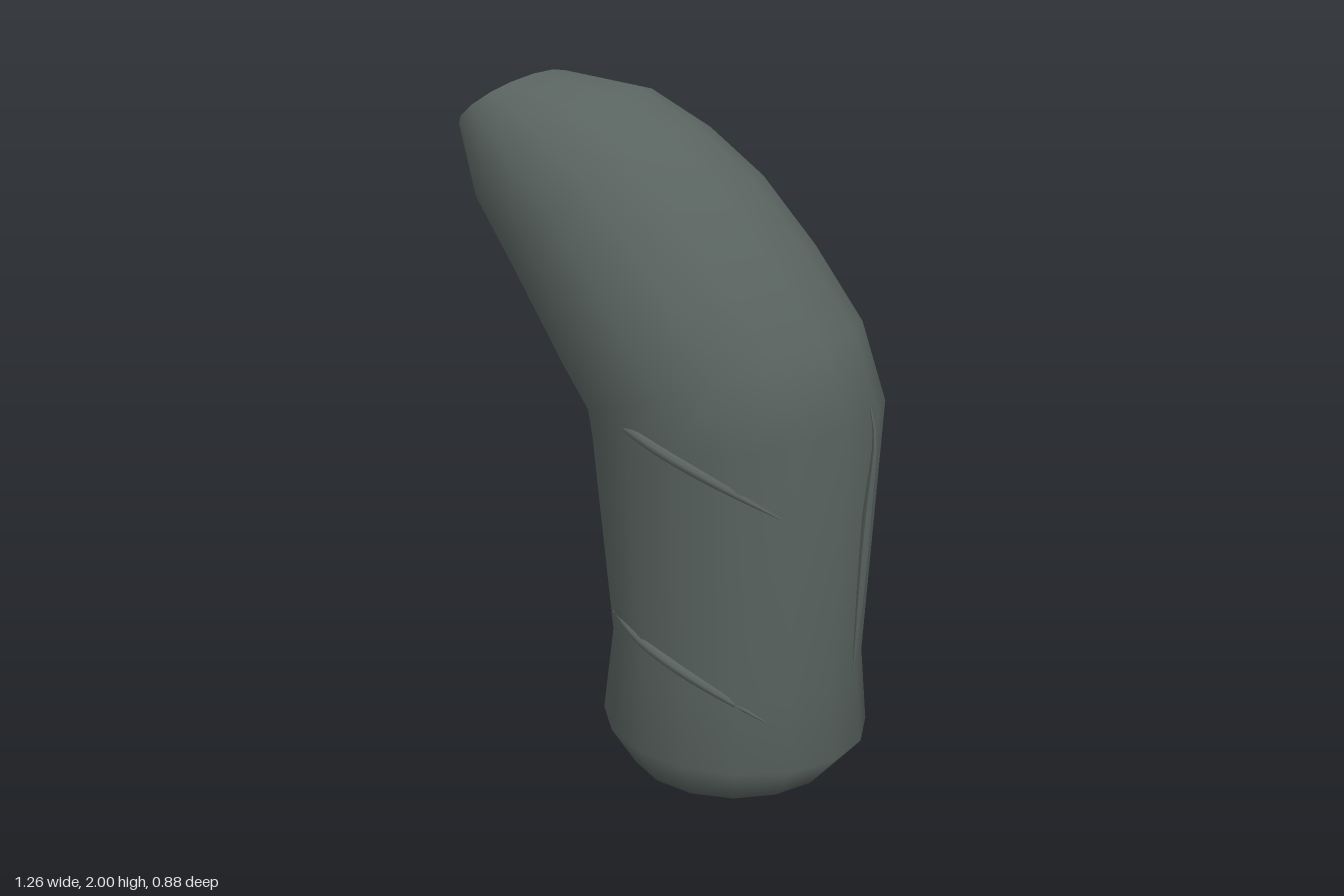
import * as THREE from 'three';
import { mergeVertices } from 'three/addons/utils/BufferGeometryUtils.js';

const SIDES = 16;

// Each ring: inner edge x, y, outer edge x, y, half depth in z
const RINGS = [
  [0.2, 0, 0.2, 0, 0],
  [-0.12, 0, 0.51, 0, 0.325],
  [-0.21, 0.11, 0.595, 0.1, 0.37],
  [-0.17, 0.38, 0.57, 0.32, 0.383],
  [-0.225, 0.98, 0.61, 1.1, 0.43],
  [-0.235, 1.06, 0.53, 1.33, 0.438],
  [-0.3, 1.17, 0.38, 1.54, 0.44],
  [-0.39, 1.31, 0.22, 1.73, 0.41],
  [-0.48, 1.45, 0.06, 1.86, 0.37],
  [-0.58, 1.61, -0.12, 1.96, 0.33],
  [-0.64, 1.83, -0.39, 2.0, 0.235],
  [-0.555, 1.95, -0.555, 1.95, 0],
];

// Bent sleeve skinned over elliptical cross-sections
function sleeveGeometry() {
  const pos = [], index = [];
  RINGS.forEach(([lx, ly, rx, ry, d], i) => {
    for (let j = 0; j < SIDES; j++) {
      const t = (j / SIDES) * Math.PI * 2, c = Math.cos(t) / 2;
      pos.push((lx + rx) / 2 + (rx - lx) * c, (ly + ry) / 2 + (ry - ly) * c, d * Math.sin(t));
      if (i === RINGS.length - 1) continue;
      const a = i * SIDES + j, b = i * SIDES + ((j + 1) % SIDES);
      if (i > 0) index.push(a, a + SIDES, b);
      if (i < RINGS.length - 2) index.push(b, a + SIDES, b + SIDES);
      if (i === 0) index.push(b, a + SIDES, b + SIDES);
    }
  });
  let geo = new THREE.BufferGeometry();
  geo.setAttribute('position', new THREE.Float32BufferAttribute(pos, 3));
  geo.setIndex(index);
  geo = mergeVertices(geo, 1e-4);
  geo.computeVertexNormals();
  return geo;
}

// Thin cloth crease: a tube that tapers to a point at both ends
function creaseGeometry(points, radius) {
  const curve = new THREE.CatmullRomCurve3(points.map((p) => new THREE.Vector3(...p)));
  const segs = 14, radial = 6;
  const geo = new THREE.TubeGeometry(curve, segs, radius, radial);
  const p = geo.attributes.position, v = new THREE.Vector3();
  for (let i = 0; i <= segs; i++) {
    const c = curve.getPointAt(i / segs);
    const s = 0.15 + 0.85 * Math.sin((Math.PI * i) / segs);
    for (let j = 0; j <= radial; j++) {
      const k = i * (radial + 1) + j;
      v.fromBufferAttribute(p, k).sub(c).multiplyScalar(s).add(c);
      p.setXYZ(k, v.x, v.y, v.z);
    }
  }
  geo.computeVertexNormals();
  return geo;
}

export function createModel() {
  const group = new THREE.Group();
  group.name = 'bentSleeve';
  const cloth = new THREE.MeshStandardMaterial({ color: 0x59635f });
  cloth.name = 'greyGreenCloth';

  const add = (name, geo) => {
    const mesh = new THREE.Mesh(geo, cloth);
    mesh.name = name;
    group.add(mesh);
  };

  add('sleeve', sleeveGeometry());

  // Two slanting creases on the front and one upright on the outer side
  add('upperCrease', creaseGeometry([
    [-0.1, 1.12, 0.31], [0, 1.105, 0.38], [0.14, 1.06, 0.428], [0.3, 0.98, 0.405], [0.45, 0.88, 0.325],
  ], 0.016));
  add('lowerCrease', creaseGeometry([
    [-0.08, 0.495, 0.265], [0.05, 0.465, 0.355], [0.17, 0.425, 0.387], [0.3, 0.35, 0.362], [0.41, 0.27, 0.31],
  ], 0.016));
  add('sideCrease', creaseGeometry([
    [0.6, 1.13, 0.045], [0.615, 1.05, 0.045], [0.598, 0.8, 0.035], [0.583, 0.55, 0.025], [0.567, 0.3, 0.012],
  ], 0.015));

  return group;
}
